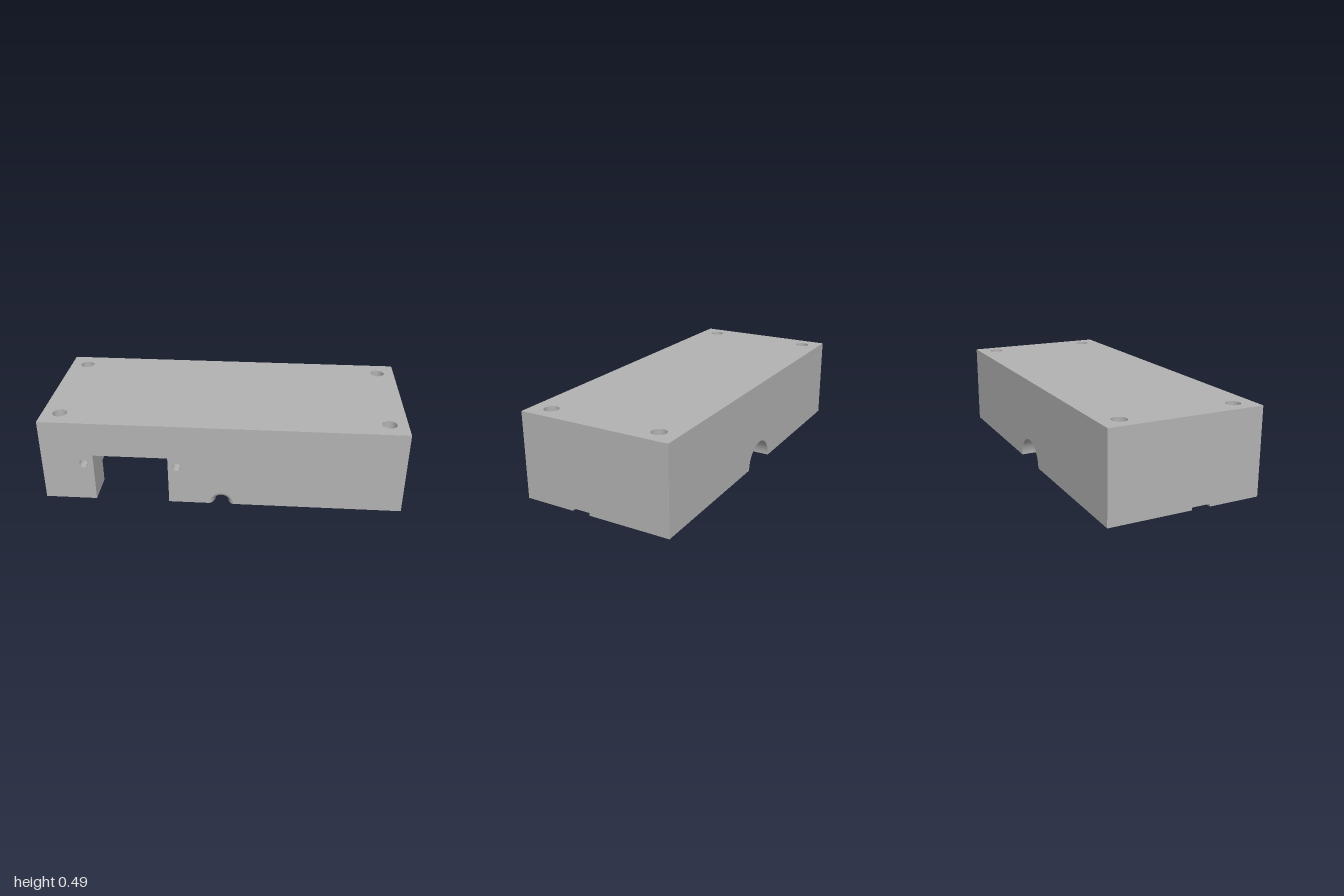
import * as THREE from 'three';
import { toCreasedNormals } from 'three/addons/utils/BufferGeometryUtils.js';

const W = 1, H = 0.485, D = 0.43;                    // half width, height, half depth
const CAV = { x: 0.77, back: -0.11, front: 0.24, top: 0.4, r: 0.04 };
const CUT = { x0: -0.71, x1: -0.295, top: 0.285 };   // front opening
const SLOT = { z0: 0.035, z1: 0.14, depth: 0.05, h: 0.015 };
const SEG = 32;

export function createModel() {
  const group = new THREE.Group();
  const grey = new THREE.MeshStandardMaterial({ color: 0xb2b2b2, side: THREE.DoubleSide });
  grey.name = 'grey plastic';

  const add = (name, geo) => {
    const mesh = new THREE.Mesh(geo, grey);
    mesh.name = name;
    group.add(mesh);
    return mesh;
  };
  const poly = (pts) => new THREE.Shape(pts.map(([a, b]) => new THREE.Vector2(a, b)));
  const punch = (shape, r, centres) => {
    for (const [x, y] of centres) shape.holes.push(new THREE.Path().absarc(x, y, r, 0, Math.PI * 2, true));
    return shape;
  };
  const mirror = (pts) => pts.map(([x, z]) => [-x, z]);

  // Flat faces: level (x,z), upright facing z (x,y), upright facing x (z,y)
  const level = (name, s, y) => add(name, new THREE.ShapeGeometry(s, SEG).rotateX(Math.PI / 2).translate(0, y, 0));
  const facingZ = (name, s, z) => add(name, new THREE.ShapeGeometry(s, SEG).translate(0, 0, z));
  const facingX = (name, s, x) => add(name, new THREE.ShapeGeometry(s, SEG).rotateY(-Math.PI / 2).translate(x, 0, 0));

  // Vertical strip following a floor path of [x, z] points
  const strip = (name, path, y0, y1) => {
    const pos = [], idx = [];
    path.forEach(([x, z], i) => {
      pos.push(x, y0, z, x, y1, z);
      if (i) { const a = 2 * i - 2; idx.push(a, a + 1, a + 2, a + 1, a + 3, a + 2); }
    });
    const g = new THREE.BufferGeometry();
    g.setAttribute('position', new THREE.Float32BufferAttribute(pos, 3));
    g.setIndex(idx);
    add(name, toCreasedNormals(g, 0.6));
  };

  // Upright panel with a half-round notch in its lower edge, and optionally the front opening
  const panel = (halfW, h, r, opening) => {
    const s = new THREE.Shape().moveTo(-halfW, 0);
    if (opening) s.lineTo(CUT.x0, 0).lineTo(CUT.x0, CUT.top).lineTo(CUT.x1, CUT.top).lineTo(CUT.x1, 0);
    return s.lineTo(-r, 0).absarc(0, 0, r, Math.PI, 0, true).lineTo(halfW, 0).lineTo(halfW, h).lineTo(-halfW, h);
  };

  // Quarter curve from angle a0 to a1 around a centre
  const curve = (cx, cz, rx, rz, a0, a1, n = 10) => Array.from({ length: n + 1 }, (_, i) => {
    const a = a0 + (a1 - a0) * i / n;
    return [cx + rx * Math.cos(a), cz + rz * Math.sin(a)];
  });

  const Q = Math.PI / 2;
  // Channel profiles as [radius, z]: flared back channel and funnelled cable exit
  const backProfile = [[0.13, -D], ...curve(0.27, -0.25, 0.14, 0.14, 2 * Q, Q)];
  const frontProfile = [...curve(0.07, 0.36, 0.035, 0.07, Q, 2 * Q), [0.035, CAV.front]];
  // Rounded end of the cavity on the +x side, back to front
  const { x: cx, r: cr } = CAV;
  const endPath = [
    ...curve(cx - cr, CAV.back + cr, cr, cr, -Q, 0),
    ...curve(cx - cr, CAV.front - cr, cr, cr, 0, Q),
  ];
  const slotPath = [[W, SLOT.z1], [W - SLOT.depth, SLOT.z1], [W - SLOT.depth, SLOT.z0], [W, SLOT.z0]];

  // Outer shell
  const bolts = [[0.9, -0.32], [0.9, 0.32], [-0.9, -0.32], [-0.9, 0.32]];
  const sockets = [[0.89, -0.09], [-0.9, 0.05]];
  const screws = [[-0.765, 0.23], [-0.245, 0.23]];
  level('top', punch(poly([[-W, -D], [W, -D], [W, D], [-W, D]]), 0.04, bolts), H);
  facingZ('backFace', panel(W, H, 0.13), -D);
  facingZ('frontFace', punch(panel(W, H, 0.07, true), 0.024, screws), D);
  for (const s of [-1, 1]) {
    facingX('sideFace', poly([[-D, 0], [SLOT.z0, 0], [SLOT.z0, SLOT.h], [SLOT.z1, SLOT.h],
      [SLOT.z1, 0], [D, 0], [D, H], [-D, H]]), s * W);
  }

  // Underside rims
  const left = [...backProfile, ...endPath, ...[...frontProfile].reverse(), [W, D], ...slotPath, [W, -D]];
  const right = mirror([...backProfile, ...endPath, [-CUT.x0, CAV.front], [-CUT.x0, D], [W, D], ...slotPath, [W, -D]]);
  const middle = [...mirror(frontProfile), [CUT.x1, CAV.front], [CUT.x1, D]];
  level('leftRim', punch(poly(left), 0.04, [bolts[0], bolts[1], sockets[0]]), 0);
  level('rightRim', punch(poly(right), 0.04, [bolts[2], bolts[3], sockets[1]]), 0);
  level('middleRim', poly(middle), 0);

  // Cavity
  level('cavityCeiling', poly([...endPath, ...mirror(endPath).reverse()]), CAV.top);
  facingZ('cavityBackWall', panel(cx - cr, CAV.top, 0.27), CAV.back);
  facingZ('cavityFrontWall', panel(cx - cr, CAV.top, 0.035, true), CAV.front);
  strip('cavityLeftEnd', endPath, 0, CAV.top);
  strip('cavityRightEnd', mirror(endPath), 0, CAV.top);

  // Front opening
  for (const x of [CUT.x0, CUT.x1]) strip('openingSide', [[x, CAV.front], [x, D]], 0, CUT.top);
  level('openingCeiling', poly([[CUT.x0, CAV.front], [CUT.x1, CAV.front], [CUT.x1, D], [CUT.x0, D]]), CUT.top);

  // Half-round channels
  const channel = (name, profile) => add(name, new THREE.LatheGeometry(
    profile.map(([r, z]) => new THREE.Vector2(r, z)), SEG, Q, Math.PI).rotateX(Q));
  channel('backChannel', backProfile);
  channel('cableExit', frontProfile);

  // Pry slots
  for (const path of [slotPath, mirror(slotPath)]) {
    strip('prySlotWalls', path, 0, SLOT.h);
    level('prySlotCeiling', poly(path), SLOT.h);
  }

  // Bolt holes, blind sockets and front screw holes
  const bore = (name, r, len) => add(name, new THREE.CylinderGeometry(r, r, len, SEG, 1, true));
  for (const [x, z] of bolts) bore('boltHole', 0.04, H).position.set(x, H / 2, z);
  for (const [x, z] of sockets) {
    bore('socket', 0.04, 0.3).position.set(x, 0.15, z);
    add('socketEnd', new THREE.CircleGeometry(0.04, SEG).rotateX(Q)).position.set(x, 0.3, z);
  }
  for (const [x, y] of screws) {
    const hole = bore('screwHole', 0.024, 0.15);
    hole.rotation.x = Q;
    hole.position.set(x, y, D - 0.075);
    add('screwHoleEnd', new THREE.CircleGeometry(0.024, SEG)).position.set(x, y, D - 0.15);
  }
  return group;
}
